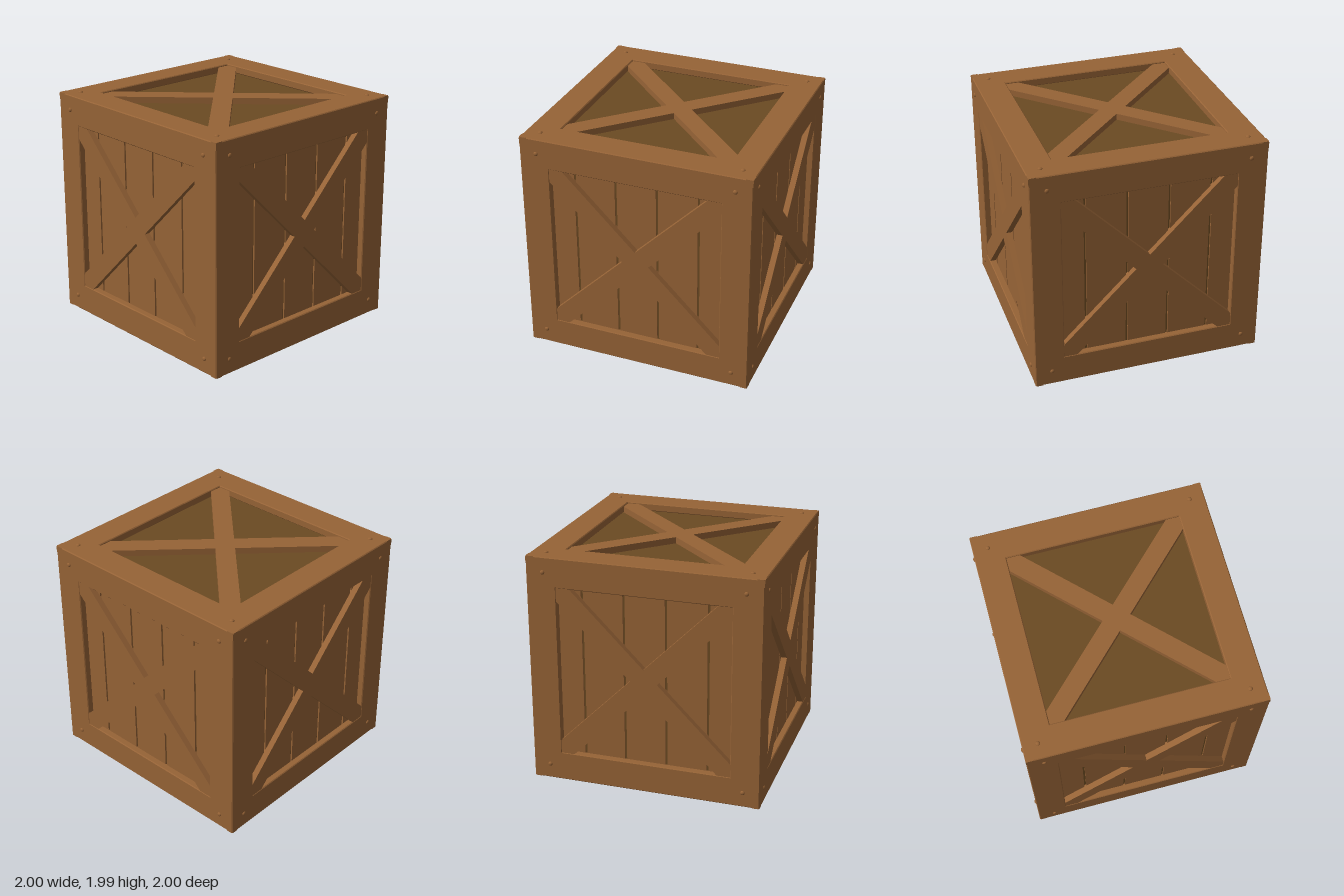
import * as THREE from 'three';

const HALF = 0.988;      // half the width of the crate body
const MID = 0.991;       // height of its centre
const INNER = 0.735;     // half the opening in each frame
const THICK = 0.068;     // frame thickness
const BEVEL = 0.007;

const wood = new THREE.MeshStandardMaterial({ color: 0x966336 });
wood.name = 'wood';
const darkWood = new THREE.MeshStandardMaterial({ color: 0x6b4a22 });
darkWood.name = 'darkWood';

function addMesh(parent, name, geometry, material, x = 0, y = 0, z = 0) {
  const mesh = new THREE.Mesh(geometry, material);
  mesh.name = name;
  mesh.position.set(x, y, z);
  parent.add(mesh);
  return mesh;
}

function square(Type, h) {
  return new Type([[-h, -h], [h, -h], [h, h], [-h, h]].map(([x, y]) => new THREE.Vector2(x, y)));
}

// Square frame with bevelled edges; its outer face lies on z = HALF
function frameGeometry() {
  const shape = square(THREE.Shape, HALF);
  shape.holes.push(square(THREE.Path, INNER));
  const geometry = new THREE.ExtrudeGeometry(shape, {
    depth: THICK - 2 * BEVEL, bevelSize: BEVEL, bevelThickness: BEVEL,
    bevelOffset: -BEVEL, bevelSegments: 1,
  });
  return geometry.translate(0, 0, HALF - THICK + BEVEL);
}

// One face of the crate, built facing +z around the crate's centre
function buildFace(name, { barDepth, boltX, planks }) {
  const face = new THREE.Group();
  face.name = name;
  addMesh(face, 'frame', frameGeometry(), wood);

  // Crossed braces
  const thickness = THICK - barDepth;
  const bar = new THREE.BoxGeometry(2.3, 0.163, thickness);
  for (const s of [-1, 1]) {
    const brace = addMesh(face, 'brace', bar, wood, 0, 0, HALF - barDepth - thickness / 2);
    brace.rotation.z = s * Math.PI / 4;
  }

  // Upright planks with narrow gaps
  if (planks) {
    const plank = new THREE.BoxGeometry(0.337, 1.8, 0.02);
    for (let i = -2; i <= 2; i++) {
      addMesh(face, 'plank', plank, wood, i * 0.355, 0, HALF - 0.065);
    }
  }

  // Domed corner bolts
  const bolt = new THREE.SphereGeometry(0.019, 12, 6, 0, Math.PI * 2, 0, Math.PI / 2);
  bolt.rotateX(Math.PI / 2).scale(1, 1, 0.63);
  for (const sx of [-1, 1]) {
    for (const sy of [-1, 1]) {
      addMesh(face, 'bolt', bolt, wood, sx * boltX, sy * 0.86, HALF);
    }
  }
  return face;
}

export function createModel() {
  const crate = new THREE.Group();
  crate.name = 'crate';

  // Inner box, seen at the top, the bottom and between the planks
  const size = 2 * (HALF - THICK);
  addMesh(crate, 'innerBox', new THREE.BoxGeometry(size, size, size), darkWood, 0, MID, 0);

  // Four sides
  ['front', 'left', 'back', 'right'].forEach((name, i) => {
    const side = buildFace(name + 'Side', { barDepth: 0.004, boltX: 0.845, planks: true });
    side.position.y = MID;
    side.rotation.y = i * Math.PI / 2;
    crate.add(side);
  });

  // Lid
  const lid = buildFace('lid', { barDepth: 0.014, boltX: 0.86, planks: false });
  lid.position.y = MID;
  lid.rotation.x = -Math.PI / 2;
  crate.add(lid);

  return crate;
}
